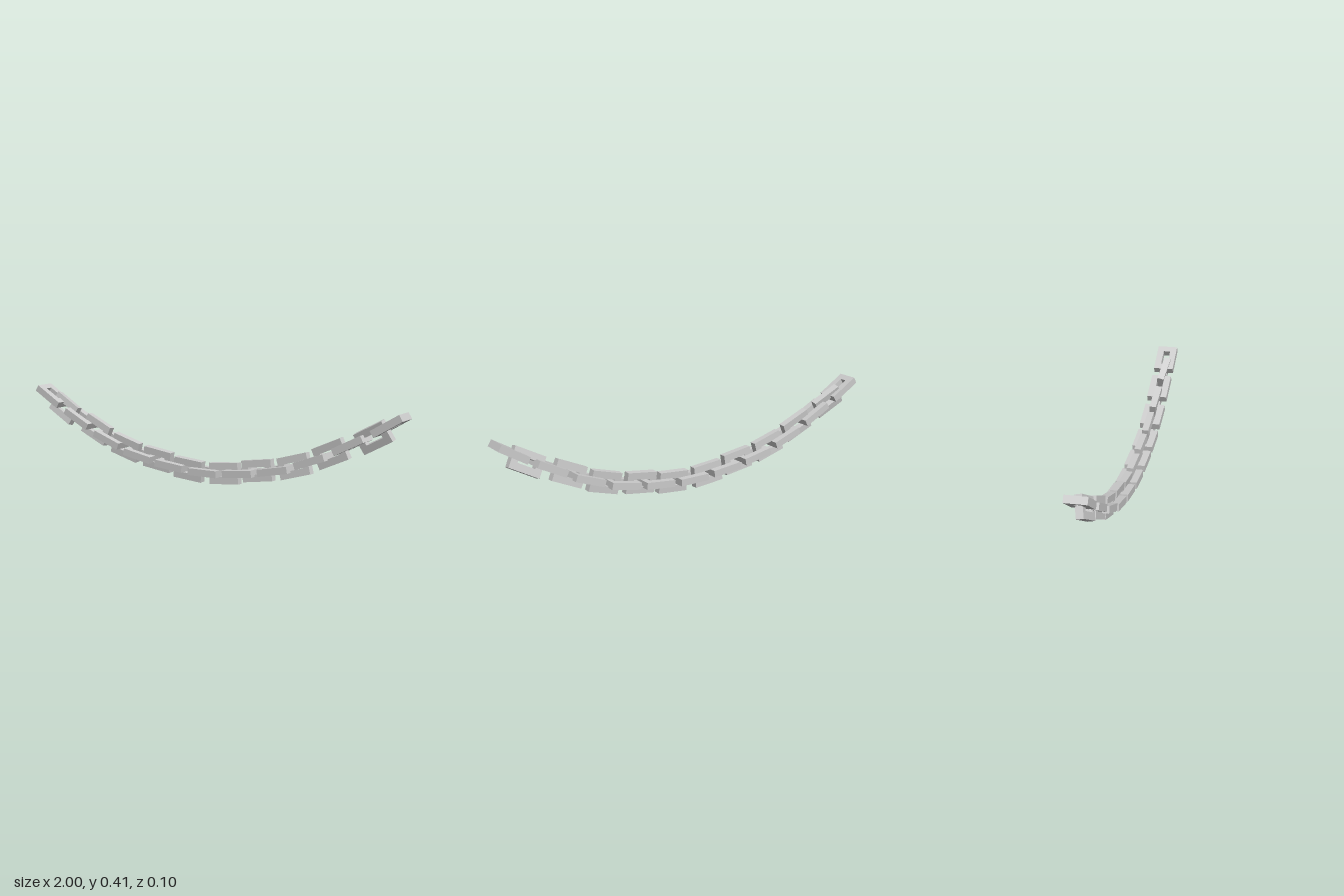
import * as THREE from 'three';

const LENGTH = 0.155, WIDTH = 0.1, BAR = 0.033;
const rad = THREE.MathUtils.degToRad;

// Rectangular link with a rectangular opening, lying in the XY plane
function linkGeometry() {
  const rect = (path, w, h) => {
    path.moveTo(-w / 2, -h / 2);
    path.lineTo(w / 2, -h / 2);
    path.lineTo(w / 2, h / 2);
    path.lineTo(-w / 2, h / 2);
    path.closePath();
    return path;
  };
  const shape = rect(new THREE.Shape(), LENGTH, WIDTH);
  shape.holes.push(rect(new THREE.Path(), LENGTH - 2 * BAR, WIDTH - 2 * BAR));
  return new THREE.ExtrudeGeometry(shape, { depth: BAR, bevelEnabled: false })
    .translate(0, 0, -BAR / 2);
}

// Half of the chain, outward from the middle: x, y, pitch, roll, yaw (degrees)
const LINKS = [
  [0.1, 0.057, 5, -3, 0],
  [0.19, 0.069, 6, 90, 0],
  [0.278, 0.088, 8, -3, 0],
  [0.375, 0.1, 11, 90, 0],
  [0.467, 0.128, 16, -3, 0],
  [0.56, 0.162, 20, 90, 0],
  [0.647, 0.202, 24, 4, -2],
  [0.745, 0.252, 27, 90, 0],
  [0.85, 0.293, 28, 11, -5],
  [0.925, 0.352, 31, 90, 0],
];

export function createModel() {
  const chain = new THREE.Group();
  chain.name = 'chain';
  const geometry = linkGeometry();
  const material = new THREE.MeshStandardMaterial({ color: 0xcccccc, flatShading: true });

  const addLink = (parent, name, [x, y, pitch, roll, yaw]) => {
    const link = new THREE.Mesh(geometry, material);
    link.name = name;
    link.position.set(x, y, 0);
    link.rotation.set(rad(roll), rad(yaw), rad(pitch), 'ZYX');
    parent.add(link);
  };

  // Lowest link in the middle
  addLink(chain, 'middleLink', [0, 0.055, 0, 90, 0]);

  // Two rising halves, one turned half way round
  ['left', 'right'].forEach((side, s) => {
    const half = new THREE.Group();
    half.name = side + 'Half';
    half.rotation.y = s * Math.PI;
    LINKS.forEach((data, i) => addLink(half, `${side}Link${i + 1}`, data));
    chain.add(half);
  });
  return chain;
}
